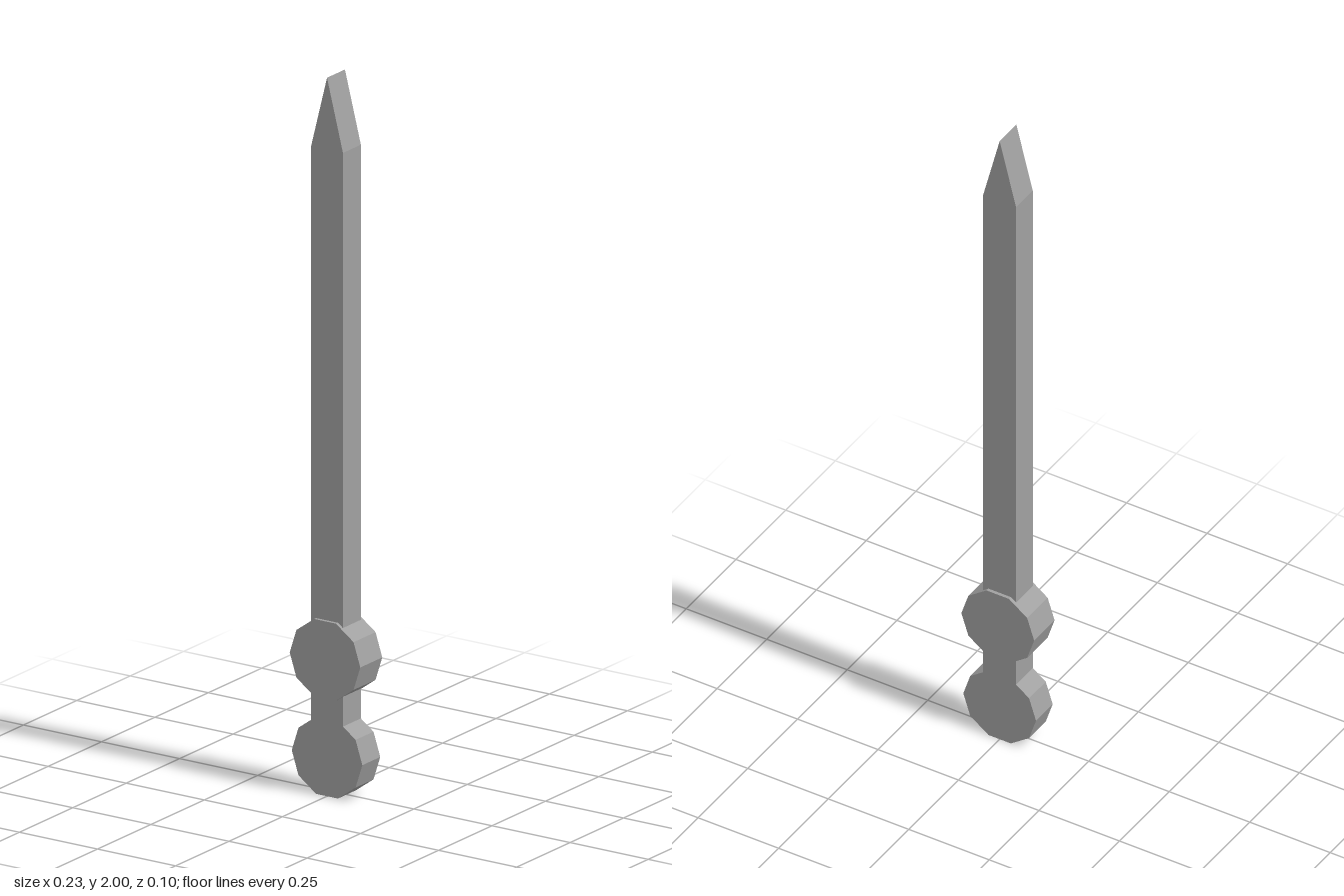
import * as THREE from 'three';

const steel = new THREE.MeshStandardMaterial({ color: 0xa0a0a0, flatShading: true });
steel.name = 'grey steel';

// Ten-sided disc facing z, with flat top and bottom edges
function disc(name, y, depth, z) {
  const geometry = new THREE.CylinderGeometry(0.113, 0.113, depth, 10, 1, false, Math.PI / 10);
  geometry.rotateX(Math.PI / 2);
  const mesh = new THREE.Mesh(geometry, steel);
  mesh.name = name;
  mesh.position.set(0, y, z);
  return mesh;
}

// Flat outline given a thickness along z
function plate(name, points, depth, z) {
  const shape = new THREE.Shape(points.map(([x, y]) => new THREE.Vector2(x, y)));
  const geometry = new THREE.ExtrudeGeometry(shape, { depth, bevelEnabled: false });
  geometry.translate(0, 0, z - depth / 2);
  const mesh = new THREE.Mesh(geometry, steel);
  mesh.name = name;
  return mesh;
}

export function createModel() {
  const sword = new THREE.Group();
  sword.name = 'sword';
  const w = 0.051;

  // Handle: short bar between the two discs
  sword.add(plate('handle', [[-w, 0.2], [w, 0.2], [w, 0.3], [-w, 0.3]], 0.084, -0.001));

  // Blade with a wedge-shaped tip
  sword.add(plate('blade', [[-w, 0.46], [w, 0.46], [w, 1.8], [0, 2], [-w, 1.8]], 0.084, -0.001));

  // Guard is thicker than the blade, pommel is flush with the handle
  sword.add(disc('guard', 0.382, 0.103, -0.001));
  sword.add(disc('pommel', 0.1075, 0.084, -0.001));
  return sword;
}
